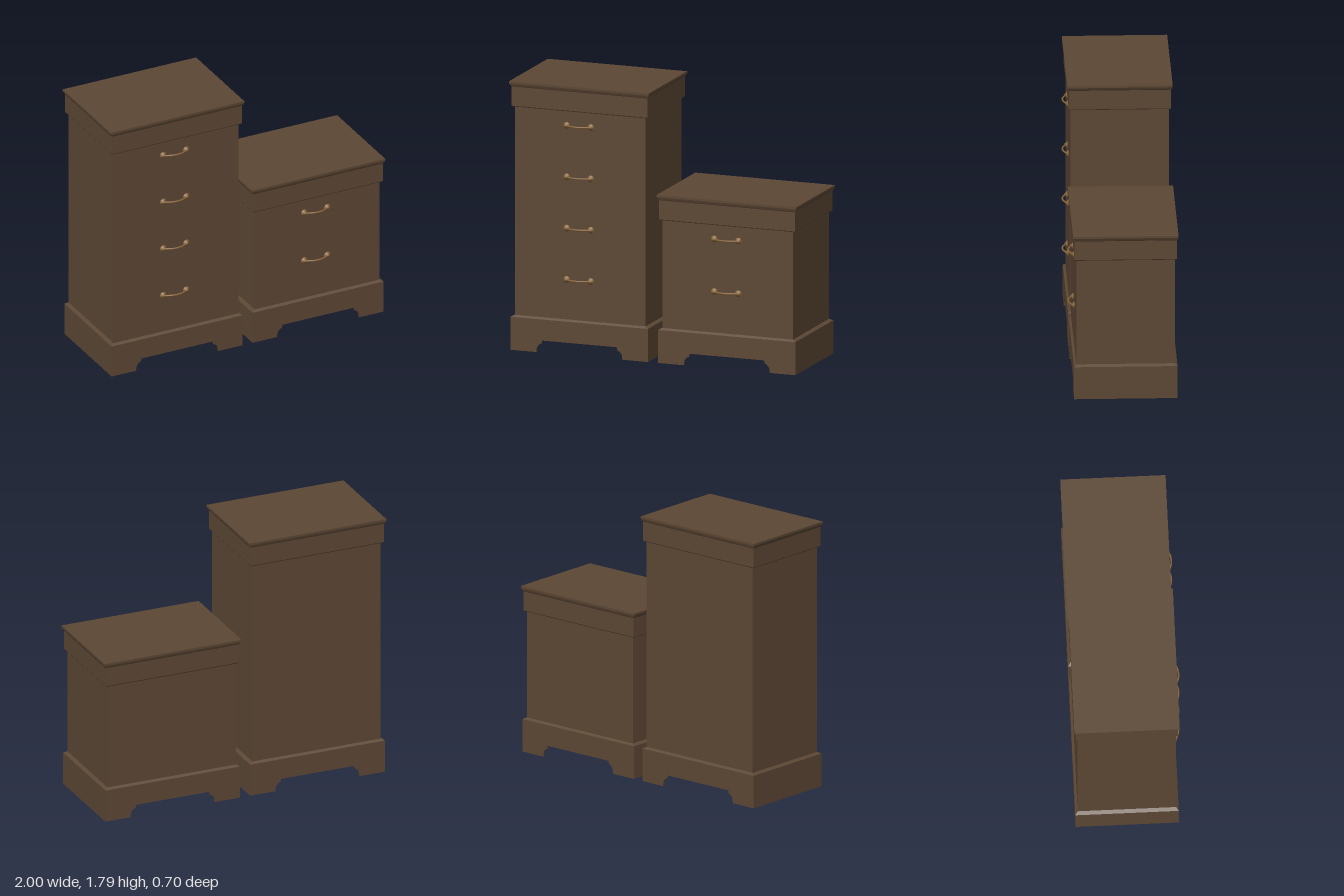
import * as THREE from 'three';

const wood = new THREE.MeshStandardMaterial({ color: 0x5c4734, side: THREE.DoubleSide });
wood.name = 'brown wood';
const brass = new THREE.MeshStandardMaterial({ color: 0x87643a });
brass.name = 'aged brass';

const BASE = [0.478, 0.336]; // half width, half depth
const BODY = [0.455, 0.32];
const BASE_TOP = 0.22;
const BOARD = 0.012;

function addMesh(parent, name, geometry, material) {
  const mesh = new THREE.Mesh(geometry, material);
  mesh.name = name;
  parent.add(mesh);
  return mesh;
}

// Stacked rectangular rings [y, half width, half depth], flat faced, optional top cap
function rectLoft(rings, cap) {
  const corners = rings.map(([y, w, d]) => [[-w, y, d], [w, y, d], [w, y, -d], [-w, y, -d]]);
  const pos = [];
  const quad = (a, b, c, d) => pos.push(...a, ...b, ...c, ...a, ...c, ...d);
  for (let r = 0; r < rings.length - 1; r++) {
    for (let i = 0; i < 4; i++) {
      const j = (i + 1) % 4;
      quad(corners[r][i], corners[r][j], corners[r + 1][j], corners[r + 1][i]);
    }
  }
  if (cap) quad(...corners[corners.length - 1]);
  const g = new THREE.BufferGeometry();
  g.setAttribute('position', new THREE.Float32BufferAttribute(pos, 3));
  g.computeVertexNormals();
  return g;
}

// Base board with a bracket-foot cutout
function apronGeometry() {
  const w = BASE[0];
  const s = new THREE.Shape();
  s.moveTo(-w, 0);
  s.lineTo(-0.3, 0);
  s.lineTo(-0.297, 0.025);
  s.quadraticCurveTo(-0.29, 0.05, -0.264, 0.06);
  s.lineTo(-0.26, 0.08);
  s.lineTo(0.26, 0.08);
  s.lineTo(0.264, 0.06);
  s.quadraticCurveTo(0.29, 0.05, 0.297, 0.025);
  s.lineTo(0.3, 0);
  s.lineTo(w, 0);
  s.lineTo(w, BASE_TOP);
  s.lineTo(-w, BASE_TOP);
  s.closePath();
  return new THREE.ExtrudeGeometry(s, { depth: BOARD, bevelEnabled: false, curveSegments: 5 });
}

// Bowed pull with a rosette at each end
function createHandle() {
  const handle = new THREE.Group();
  handle.name = 'handle';
  const profile = [[0.023, 0], [0.021, 0.006], [0.012, 0.011], [0.009, 0.018], [0, 0.02]]
    .map(([r, h]) => new THREE.Vector2(r, h));
  const rosette = new THREE.LatheGeometry(profile, 12);
  rosette.rotateX(Math.PI / 2);
  for (const side of [-1, 1]) {
    addMesh(handle, 'handleRosette', rosette, brass).position.x = side * 0.084;
  }
  const curve = new THREE.CatmullRomCurve3([
    [-0.084, 0.012], [-0.06, 0.022], [-0.03, 0.033], [0, 0.036],
    [0.03, 0.033], [0.06, 0.022], [0.084, 0.012],
  ].map(([x, z]) => new THREE.Vector3(x, 0, z)));
  addMesh(handle, 'handleBar', new THREE.TubeGeometry(curve, 20, 0.006, 8), brass);
  return handle;
}

function createCabinet(name, x, height, handleHeights) {
  const cabinet = new THREE.Group();
  cabinet.name = name;
  cabinet.position.set(x, 0, -0.007);

  // Hollow base, open underneath
  const apron = apronGeometry();
  addMesh(cabinet, 'frontApron', apron, wood).position.z = BASE[1] - BOARD;
  addMesh(cabinet, 'backApron', apron, wood).position.z = -BASE[1];
  const sideBoard = new THREE.BoxGeometry(BOARD, BASE_TOP, 2 * (BASE[1] - BOARD));
  for (const side of [-1, 1]) {
    addMesh(cabinet, 'baseSide', sideBoard, wood)
      .position.set(side * (BASE[0] - BOARD / 2), BASE_TOP / 2, 0);
  }

  // Sloped base moulding and plain body
  const topStart = height - 0.17;
  addMesh(cabinet, 'baseMoulding', rectLoft([[BASE_TOP, ...BASE], [0.232, ...BODY]]), wood);
  addMesh(cabinet, 'body', rectLoft([[0.232, ...BODY], [topStart, ...BODY]]), wood);

  // Overhanging top block and flared cornice
  addMesh(cabinet, 'top', rectLoft([
    [topStart, ...BODY],
    [topStart, 0.469, 0.328],
    [topStart + 0.006, 0.473, 0.332],
    [height - 0.036, 0.473, 0.332],
    [height - 0.032, 0.477, 0.335],
    [height - 0.02, 0.483, 0.34],
    [height - 0.014, 0.486, 0.342],
    [height, 0.486, 0.342],
  ], true), wood);

  for (const y of handleHeights) {
    const handle = createHandle();
    handle.position.set(-0.01, y, BODY[1]);
    cabinet.add(handle);
  }
  return cabinet;
}

export function createModel() {
  const model = new THREE.Group();
  model.name = 'drawerCabinets';
  model.add(createCabinet('tallCabinet', -0.515, 1.79, [0.498, 0.84, 1.182, 1.524]));
  model.add(createCabinet('shortCabinet', 0.513, 1.12, [0.505, 0.855]));
  return model;
}
